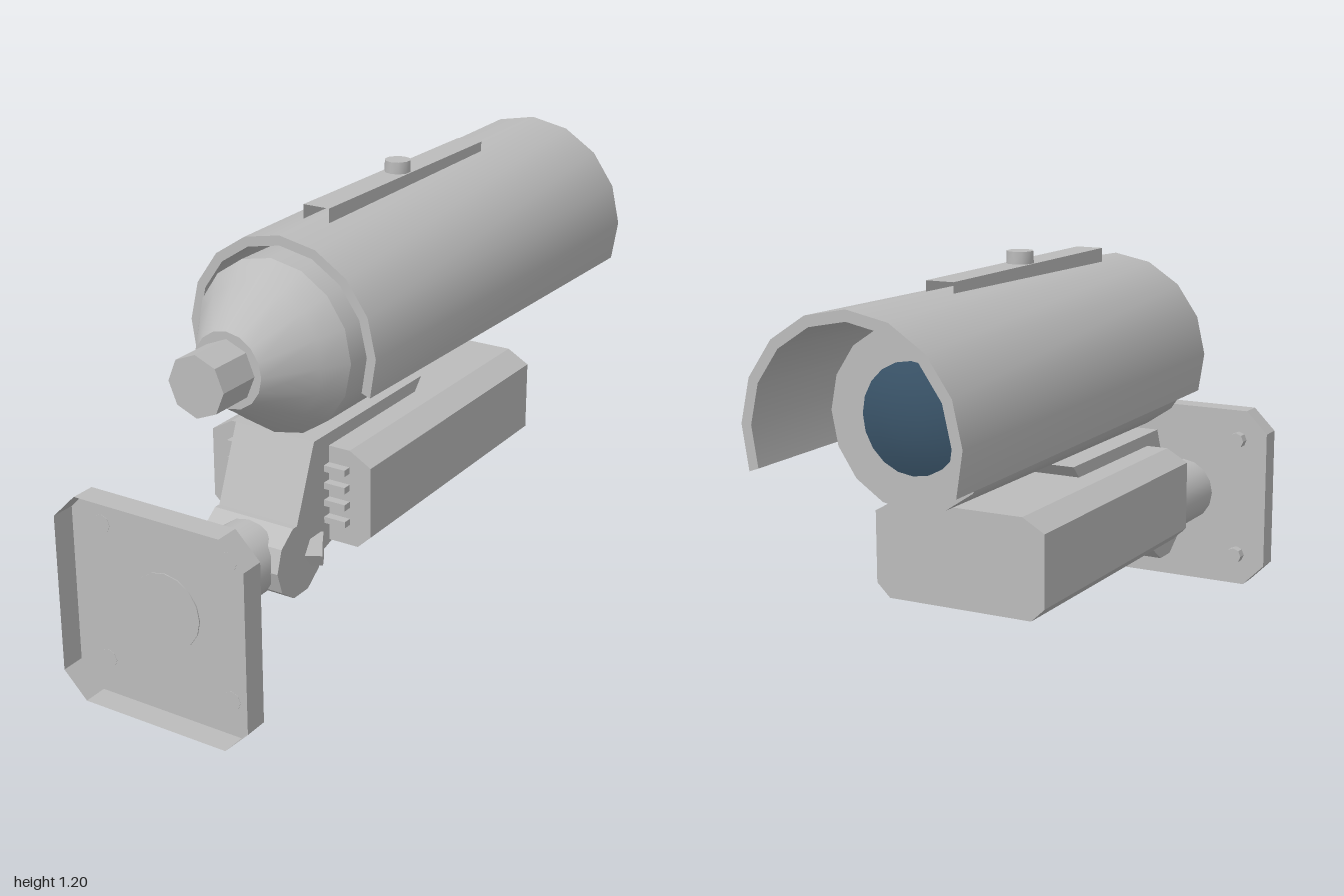
import * as THREE from 'three';
import { toCreasedNormals } from 'three/addons/utils/BufferGeometryUtils.js';

const grey = new THREE.MeshStandardMaterial({ color: 0xbcbcbc, side: THREE.DoubleSide });
grey.name = 'grey metal';
const glass = new THREE.MeshStandardMaterial({ color: 0x3a5469 });
glass.name = 'blue glass';

const AXIS_Y = 0.843; // height of the camera barrel axis

const toShape = (pts) => new THREE.Shape(pts.map(([x, y]) => new THREE.Vector2(x, y)));

// Solid outline in x, y, running from z0 to z1
function extrude(pts, z0, z1) {
  const g = new THREE.ExtrudeGeometry(toShape(pts), { depth: z1 - z0, bevelEnabled: false });
  return g.translate(0, 0, z0);
}

// Thin open sheet: a polyline in x, y swept from z0 to z1
function sheet(pts, z0, z1) {
  const pos = [];
  for (let i = 0; i + 1 < pts.length; i++) {
    const [ax, ay] = pts[i], [bx, by] = pts[i + 1];
    pos.push(ax, ay, z0, bx, by, z0, bx, by, z1, ax, ay, z0, bx, by, z1, ax, ay, z1);
  }
  const g = new THREE.BufferGeometry();
  g.setAttribute('position', new THREE.Float32BufferAttribute(pos, 3));
  g.computeVertexNormals();
  return g;
}

// Lathe around the z axis from [radius, z] points
function turned(profile, sides) {
  const g = new THREE.LatheGeometry(profile.map(([r, z]) => new THREE.Vector2(r, z)), sides);
  return toCreasedNormals(g.rotateX(Math.PI / 2), 0.5);
}

export function createModel() {
  const model = new THREE.Group();
  model.name = 'securityCamera';
  const add = (name, geometry, material = grey, x = 0, y = 0, z = 0) => {
    const m = new THREE.Mesh(geometry, material);
    m.name = name;
    m.position.set(x, y, z);
    model.add(m);
    return m;
  };

  // Wall plate: chamfered pan, open at the wall side
  const w = 0.29, c = 0.22;
  const outline = [[w, -c], [w, c], [c, w], [-c, w], [-w, c], [-w, -c], [-c, -w], [c, -w]];
  add('wallPlateFace', new THREE.ShapeGeometry(toShape(outline)), grey, 0, 0.29, 0.932);
  add('wallPlateRim', sheet([...outline, outline[0]], 0.932, 1), grey, 0, 0.29, 0);
  for (const x of [-0.195, 0.195]) {
    for (const y of [0.1, 0.485]) {
      const bolt = new THREE.CylinderGeometry(0.026, 0.026, 0.03, 8).rotateX(Math.PI / 2);
      add('plateBolt', toCreasedNormals(bolt, 0.5), grey, x, y, 0.918);
    }
  }

  // Arm and swivel joint
  const arm = new THREE.CylinderGeometry(0.104, 0.104, 0.36, 16).rotateX(Math.PI / 2);
  add('arm', toCreasedNormals(arm, 0.5), grey, 0, 0.295, 0.755);
  const joint = new THREE.CylinderGeometry(0.107, 0.107, 0.25, 10).rotateZ(Math.PI / 2);
  add('swivelJoint', toCreasedNormals(joint, 0.5), grey, 0, 0.293, 0.52);
  const pin = new THREE.CylinderGeometry(0.045, 0.045, 0.33, 6).rotateX(Math.PI / 6).rotateZ(Math.PI / 2);
  add('swivelBolt', toCreasedNormals(pin, 0.5), grey, 0, 0.293, 0.52);

  // Bracket: side outline given as [z, y], extruded across x
  const bracket = extrude([[0.54, 0.38], [0.45, 0.603], [-0.1, 0.603], [-0.05, 0.55], [0.37, 0.55],
    [0.37, 0.285], [0.42, 0.27], [0.5, 0.27]], -0.125, 0.125);
  add('bracket', bracket.rotateY(-Math.PI / 2));

  // Housing box below the barrel, with trimmed long edges
  const b = 0.255;
  add('lowerHousing', extrude([[b, 0.33], [b, 0.53], [0.19, 0.567], [-0.19, 0.567], [-b, 0.53],
    [-b, 0.33], [-0.215, 0.292], [0.215, 0.292]], -0.51, 0.38));

  // Cooling fins beside the bracket
  for (const x of [-0.155, 0.155]) {
    for (let i = 0; i < 4; i++) {
      add('fin', new THREE.BoxGeometry(0.07, 0.018, 0.03), grey, x, 0.36 + i * 0.05, 0.39);
    }
  }

  // Barrel with tapered rear, and cable gland
  add('barrel', turned([[0, -0.722], [0.24, -0.722], [0.24, 0.45], [0.195, 0.515],
    [0.104, 0.65], [0, 0.65]], 16), grey, 0, AXIS_Y, 0);
  const gland = new THREE.CylinderGeometry(0.084, 0.084, 0.15, 8).rotateX(Math.PI / 2);
  add('cableGland', toCreasedNormals(gland, 0.5), grey, 0, AXIS_Y, 0.705);

  // Slightly domed lens
  add('lens', turned([[0, -0.752], [0.05, -0.749], [0.1, -0.74], [0.145, -0.723]], 20),
    glass, 0, AXIS_Y, 0);

  // Sun shield: arc section that widens towards the lens end
  const arc = [];
  const steps = 10, start = -20, span = 220;
  const arcPoint = (r, i) => {
    const a = THREE.MathUtils.degToRad(start + (span * i) / steps);
    return [r * Math.cos(a), r * Math.sin(a)];
  };
  for (let i = 0; i <= steps; i++) arc.push(arcPoint(0.29, i));
  for (let i = steps; i >= 0; i--) arc.push(arcPoint(0.263, i));
  const shield = extrude(arc, -1, 0.412);
  const p = shield.attributes.position;
  for (let i = 0; i < p.count; i++) {
    const k = 1 + 0.065 * (0.412 - p.getZ(i)) / 1.412;
    p.setXY(i, p.getX(i) * k, p.getY(i) * k);
  }
  add('sunShield', toCreasedNormals(shield, 0.6), grey, 0, AXIS_Y, 0);

  // Folded rail and adjusting screw on top
  add('topRail', sheet([[-0.04, 1.12], [-0.04, 1.167], [0.04, 1.167], [0.04, 1.12]], -0.585, 0.24));
  add('topScrew', toCreasedNormals(new THREE.CylinderGeometry(0.037, 0.037, 0.035, 10), 0.7),
    grey, 0, 1.183, -0.172);

  return model;
}
